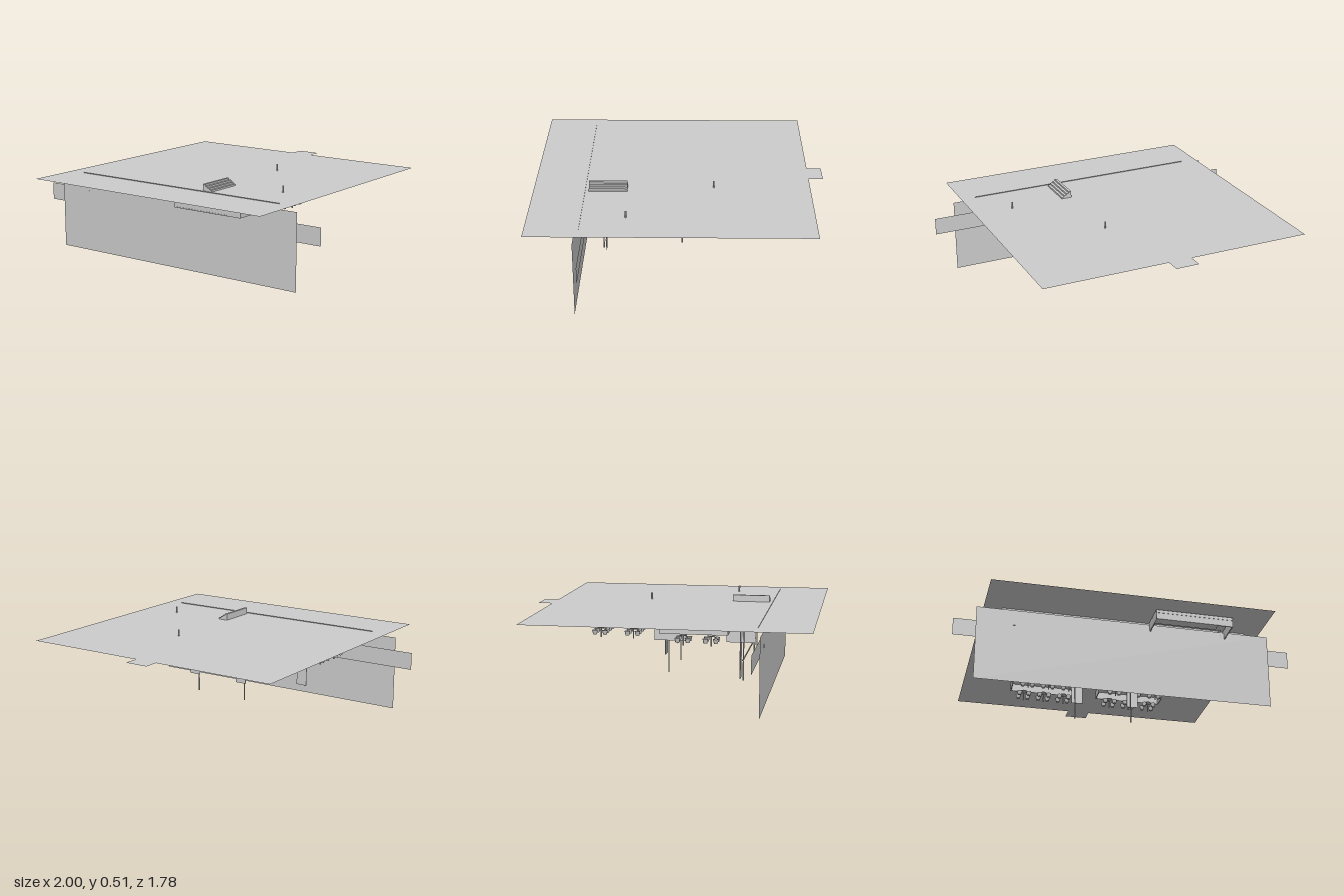
import * as THREE from 'three';

export function createModel() {
  const model = new THREE.Group();
  const site = new THREE.Group();
  site.name = 'site';
  site.rotation.y = 0.046; // whole layout is slightly skewed
  model.add(site);

  const gray = new THREE.MeshStandardMaterial({ color: 0xcccccc, side: THREE.DoubleSide });
  gray.name = 'plain gray';

  const add = (name, geo, x, y, z, parent = site) => {
    const m = new THREE.Mesh(geo, gray);
    m.name = name;
    m.position.set(x, y, z);
    parent.add(m);
    return m;
  };
  // box from min/max ranges
  const box = (name, x0, x1, y0, y1, z0, z1, parent = site) =>
    add(name, new THREE.BoxGeometry(x1 - x0, y1 - y0, z1 - z0),
      (x0 + x1) / 2, (y0 + y1) / 2, (z0 + z1) / 2, parent);
  // single-sheet vertical wall facing front
  const sheet = (name, x0, x1, y0, y1, z) =>
    add(name, new THREE.PlaneGeometry(x1 - x0, y1 - y0), (x0 + x1) / 2, (y0 + y1) / 2, z);

  // ground sheet with a tab at the back
  const s = new THREE.Shape();
  [[-0.854, -0.842], [0.798, -0.842], [0.798, 0.81], [0.04, 0.81], [0.04, 0.897],
    [-0.103, 0.897], [-0.103, 0.81], [-0.854, 0.81]]
    .forEach(([x, y], i) => (i ? s.lineTo(x, y) : s.moveTo(x, y)));
  add('groundSheet', new THREE.ShapeGeometry(s), 0, 0.475, 0).rotation.x = -Math.PI / 2;

  // long walls
  sheet('frontWall', -0.897, 0.842, 0, 0.452, 0.56);
  sheet('longBand', -1.024, 0.977, 0.275, 0.38, 0.528);
  sheet('upperStrip', -0.75, 0.71, 0.45, 0.479, 0.533);
  box('wallMarker', -0.685, -0.665, 0.355, 0.375, 0.56, 0.563);

  // steps standing on the sheet
  for (let i = 0; i < 4; i++) {
    const x = 0.162 + i * 0.016;
    box('step', x, x + 0.016, 0.475, 0.515 - i * 0.01, 0.282, 0.512);
  }
  // small posts on the sheet
  [[0.166, -0.233], [0.558, 0.276]].forEach(([x, z]) =>
    add('post', new THREE.CylinderGeometry(0.005, 0.005, 0.04, 8), x, 0.495, z));

  // table with stools hanging below the sheet
  const tableTop = new THREE.CylinderGeometry(0.022, 0.022, 0.006, 12);
  const leg = new THREE.CylinderGeometry(0.004, 0.004, 0.06, 6);
  const seat = new THREE.CylinderGeometry(0.017, 0.011, 0.025, 8);
  const tableSet = (x, z) => {
    const g = new THREE.Group();
    g.name = 'tableSet';
    g.position.set(x, 0, z);
    site.add(g);
    add('tableTop', tableTop, 0, 0.405, 0, g);
    add('tableLeg', leg, 0, 0.375, 0, g);
    for (let i = 0; i < 4; i++) {
      const a = Math.PI / 4 + i * Math.PI / 2;
      add('stool', seat, Math.cos(a) * 0.042, 0.38, Math.sin(a) * 0.042, g);
    }
  };

  // two rows of open booths at the back
  for (const z of [-0.465, -0.272]) {
    for (const x of [-0.55, 0.015]) {
      const w = 0.425;
      box('boothBack', x, x + w, 0.425, 0.473, z, z + 0.005);
      box('boothEnd', x, x + 0.005, 0.425, 0.473, z, z + 0.095);
      box('boothEnd', x + w - 0.005, x + w, 0.425, 0.473, z, z + 0.095);
      for (let i = 0; i < 3; i++) tableSet(x + 0.08 + i * 0.13, z + 0.05);
    }
  }

  // side booths running front to back
  for (const [x, dir] of [[0.56, -1], [-0.69, 1]]) {
    const x1 = x + dir * 0.09;
    box('sideBoothBack', x - 0.003, x + 0.003, 0.42, 0.473, -0.03, 0.36);
    for (const z of [-0.03, 0.355])
      box('sideBoothEnd', Math.min(x, x1), Math.max(x, x1), 0.42, 0.473, z, z + 0.005);
    for (const z of [0.1, 0.26]) tableSet(x + dir * 0.055, z);
  }

  // shallow deck frame crossing the front wall
  box('deckFront', 0.12, 0.58, 0.41, 0.47, 0.712, 0.718);
  box('deckLedge', 0.12, 0.49, 0.41, 0.416, 0.66, 0.72);
  box('deckLedge', 0.12, 0.58, 0.45, 0.456, 0.66, 0.72);
  box('deckSide', 0.574, 0.58, 0.41, 0.47, 0.36, 0.718);
  box('deckSide', 0.12, 0.126, 0.41, 0.47, 0.54, 0.718);
  const ramp = box('rampRail', -0.003, 0.003, 0.415, 0.465, -0.22, 0.22);
  ramp.position.set(0.49, 0.44, 0.35);
  ramp.rotation.y = 0.29;

  // hanging panels along the centre
  for (let i = 0; i < 5; i++) {
    const x = -0.33 + i * 0.125;
    box('hangingPanel', x, x + 0.07, 0.315, 0.41, 0.4, 0.404);
  }
  for (const x of [-0.35, 0.23]) {
    box('centreSidePanel', x, x + 0.004, 0.315, 0.41, 0.31, 0.48);
    box('centreSidePanel', x, x + 0.004, 0.315, 0.41, -0.12, 0.07);
  }
  for (const [x, z, y0] of [[0.2, 0.41, 0.1], [-0.37, 0.39, 0.1], [0.13, -0.065, 0.2], [-0.22, -0.08, 0.2]]) {
    box('tallPanel', x, x + 0.07, y0, 0.45, z, z + 0.004);
    add('thinPole', new THREE.CylinderGeometry(0.004, 0.004, 0.3, 6), x + 0.02, 0.24, z + 0.02);
  }
  box('lowRail', -0.36, 0.35, 0.207, 0.213, 0.404, 0.41);
  box('backBeam', -0.33, 0.22, 0.408, 0.413, -0.18, -0.17);
  box('sideBeam', 0.21, 0.22, 0.408, 0.413, -0.18, 0.1);

  // flight of steps hanging in the middle
  for (let i = 0; i < 5; i++)
    box('underStep', -0.12, 0.1, 0.45 - i * 0.008, 0.455 - i * 0.008, i * 0.022, i * 0.022 + 0.022);

  return model;
}
